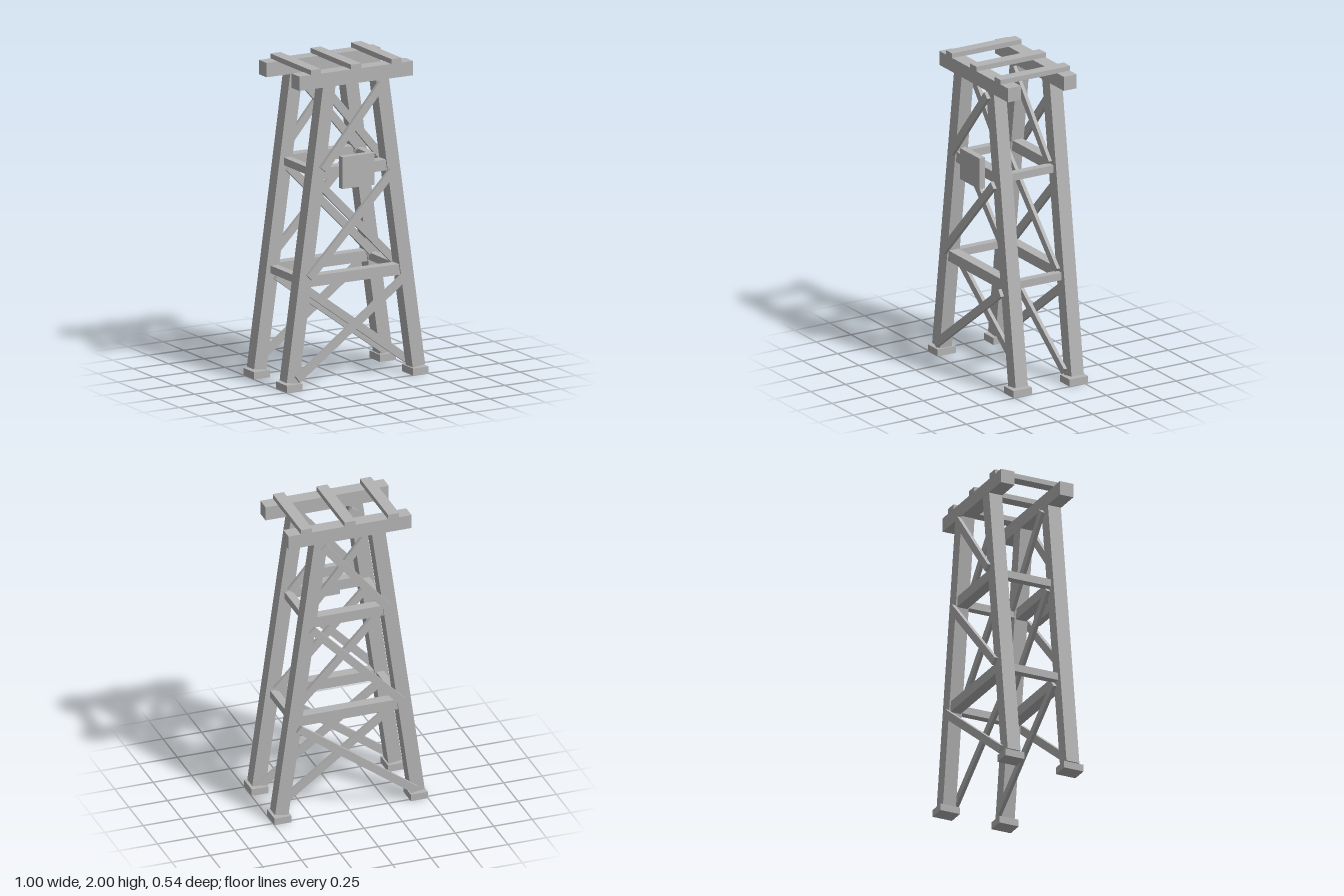
import * as THREE from 'three';

export function createModel() {
  const model = new THREE.Group();
  model.name = 'trestleTower';
  const gray = new THREE.MeshStandardMaterial({ color: 0xb4b4b4 });
  gray.name = 'weatheredGray';

  function box(parent, name, w, h, d, x, y, z) {
    const mesh = new THREE.Mesh(new THREE.BoxGeometry(w, h, d), gray);
    mesh.name = name;
    mesh.position.set(x, y, z);
    parent.add(mesh);
    return mesh;
  }

  // Straight timber between two points in a plane of constant z
  function timber(parent, name, [x1, y1], [x2, y2], width, depth, z) {
    const dx = x2 - x1, dy = y2 - y1;
    const mesh = box(parent, name, width, Math.hypot(dx, dy), depth, (x1 + x2) / 2, (y1 + y2) / 2, z);
    mesh.rotation.z = Math.atan2(-dx, dy);
  }

  const offset = -0.008;
  const bentZ = 0.2;
  const girtLevels = [0.67, 1.337];
  const legX = (y) => 0.443 - 0.258 * (y - 0.05) / 1.85;

  // Rising diagonals, lowest bay first
  const braces = [
    [[-0.42, 0.073], [0.337, 0.63]],
    [[-0.335, 0.7], [0.25, 1.3]],
    [[-0.24, 1.367], [0.175, 1.86]],
  ];

  // Front and back bents
  for (const side of [1, -1]) {
    const bent = new THREE.Group();
    bent.name = side > 0 ? 'frontBent' : 'backBent';
    bent.position.z = side * bentZ + offset;
    model.add(bent);

    for (const s of [1, -1]) {
      box(bent, 'footing', 0.11, 0.045, 0.132, s * 0.443, 0.0225, 0);
      timber(bent, 'leg', [s * 0.443, 0.05], [s * 0.185, 1.9], 0.088, 0.088, 0);
    }
    box(bent, 'capBeam', 0.8, 0.09, 0.092, 0, 1.925, 0);
    for (const y of girtLevels) box(bent, 'girt', 2 * legX(y), 0.068, 0.07, 0, y, 0);

    // One diagonal outside the legs, its mirror image inside
    for (const [a, b] of braces) {
      timber(bent, 'outerBrace', a, b, 0.05, 0.023, side * 0.0555);
      timber(bent, 'innerBrace', [-a[0], a[1]], [-b[0], b[1]], 0.05, 0.023, side * -0.0555);
    }
  }

  // Side struts joining the bents
  for (const s of [1, -1]) {
    for (const y of girtLevels) {
      box(model, 'sideStrut', 0.05, 0.048, 0.4, s * (legX(y) - 0.012), y, offset);
    }
  }

  // Cross ties on top
  for (const x of [-0.283, 0, 0.283]) {
    box(model, 'crossTie', 0.072, 0.032, 0.496, x, 1.984, offset);
  }

  // Blank sign board on the upper front girt
  box(model, 'signBoard', 0.228, 0.2, 0.042, 0, 1.335, 0.246);

  return model;
}
